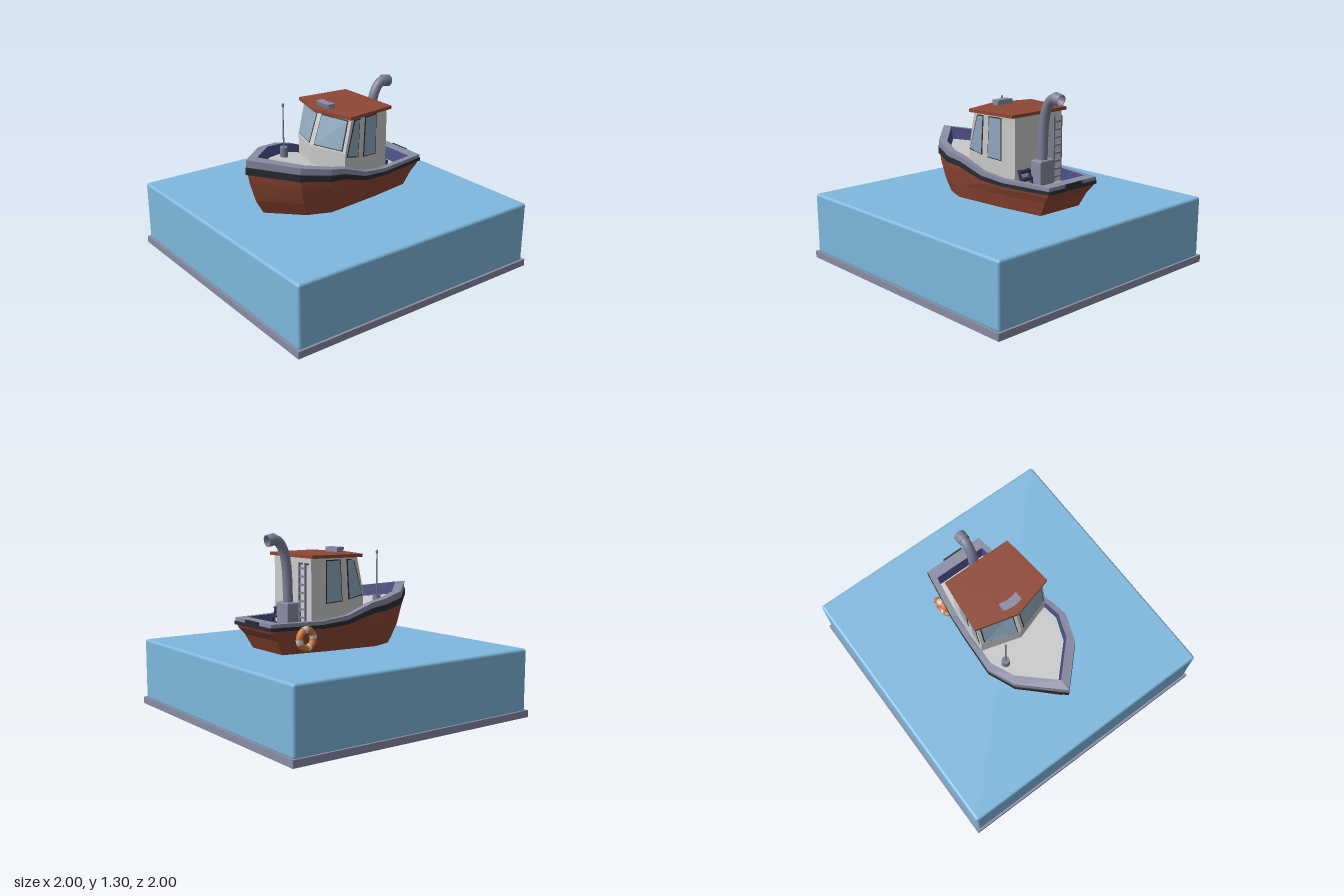
import * as THREE from 'three';
import { RoundedBoxGeometry } from 'three/addons/geometries/RoundedBoxGeometry.js';

const mat = (color, flatShading = false) => new THREE.MeshStandardMaterial({ color, flatShading });
const RED = mat(0x8f4735, true), BLACK = mat(0x2b2c34, true), TRIM = mat(0x8a8ca3, true);
const WHITE = mat(0xcccccc, true), BLUE = mat(0x4a4f86, true), GLASS = mat(0x8fa9bf, true);
const WATER = mat(0x7fb8de), PIPE = mat(0x7d7f96), NAVY = mat(0x33365e);
const ORANGE = mat(0xd9783a), PALE = mat(0xdddddd);
PIPE.side = THREE.DoubleSide;

const lerp = THREE.MathUtils.lerp;

function add(parent, name, geometry, material, x = 0, y = 0, z = 0) {
  const mesh = new THREE.Mesh(geometry, material);
  mesh.name = name;
  mesh.position.set(x, y, z);
  parent.add(mesh);
  return mesh;
}
const box = (parent, name, m, w, h, d, x, y, z) => add(parent, name, new THREE.BoxGeometry(w, h, d), m, x, y, z);

// Quads between consecutive rows of points
function loft(rows, closed = true) {
  const out = [];
  for (let r = 0; r + 1 < rows.length; r++) {
    const a = rows[r], b = rows[r + 1], n = a.length;
    for (let i = 0; i < (closed ? n : n - 1); i++) {
      const j = (i + 1) % n;
      out.push(...a[i], ...a[j], ...b[j], ...a[i], ...b[j], ...b[i]);
    }
  }
  const g = new THREE.BufferGeometry();
  g.setAttribute('position', new THREE.Float32BufferAttribute(out, 3));
  g.computeVertexNormals();
  return g;
}

const flip = ([x, y, z]) => [-x, y, z];
// Half outline from bow to stern, completed by its mirror image
const mirrorLoop = half => [...half, ...half.slice(1).reverse().map(flip)];

// Half deck edge: x, z, rim height, band thickness, floor depth
const EDGE = [
  [0, 0.71, 0.905, 0.052, 0.09], [0.26, 0.45, 0.865, 0.048, 0.08], [0.34, 0.25, 0.835, 0.043, 0.07],
  [0.33, 0.13, 0.81, 0.038, 0.06], [0.31, -0.07, 0.735, 0.032, 0.06], [0.29, -0.27, 0.71, 0.026, 0.09],
  [0.23, -0.65, 0.71, 0.024, 0.09],
];

function buildHull(boat) {
  const half = (s, height) => EDGE.map(e => [e[0] * s, height(e), e[1] * s]);
  const ring = (s, height) => mirrorLoop(half(s, height));
  const top = e => e[2], mid = e => e[2] - e[3], low = e => e[2] - 2 * e[3], floor = e => e[2] - e[4];
  add(boat, 'hull', loft([
    ring(0.81, () => 0.48), ring(0.9, () => 0.59),
    ring(0.965, e => lerp(0.59, low(e), 0.7)), ring(0.98, low),
  ]), RED);
  add(boat, 'rubbingStrake', loft([ring(0.97, low), ring(1.005, low), ring(1.005, mid), ring(0.98, mid)]), BLACK);
  add(boat, 'gunwale', loft([ring(0.995, mid), ring(0.995, top), ring(0.87, top)]), TRIM);
  add(boat, 'bulwarkLining', loft([ring(0.87, top), ring(0.84, floor)]), BLUE);
  const deck = half(0.84, floor);
  add(boat, 'deck', loft([deck, deck.map(flip)], false), WHITE);
  box(boat, 'sternFender', BLACK, 0.16, 0.04, 0.015, 0, 0.69, -0.652);
}

function buildCabin(boat) {
  const cabin = new THREE.Group();
  cabin.name = 'cabin';
  boat.add(cabin);
  const ring = (y, bow, side) => mirrorLoop([[0, y, bow], [0.275, y, side], [0.225, y, -0.32]]);
  add(cabin, 'cabinWalls', loft([ring(0.6, 0.175, 0.085), ring(0.89, 0.175, 0.085), ring(1.135, 0.09, 0.03)]), WHITE);

  // Roof with a pointed front edge
  const shape = new THREE.Shape([[0, -0.14], [0.3, -0.06], [0.26, 0.335], [-0.26, 0.335], [-0.3, -0.06]]
    .map(p => new THREE.Vector2(...p)));
  const roof = new THREE.ExtrudeGeometry(shape, { depth: 0.022, bevelEnabled: false }).rotateX(-Math.PI / 2);
  add(cabin, 'roof', roof, RED, 0, 1.13, 0);

  // Windows: corners on a wall, counter-clockwise, with a dark frame behind the glass
  const onFront = ([x, y], off) => {
    const t = (y - 0.89) / 0.245;
    return [x, y, lerp(lerp(0.175, 0.09, t), lerp(0.085, 0.03, t), x / 0.275) + off];
  };
  const onSide = ([z, y], off) => [0.225 + 0.05 * (z + 0.32) / 0.405 + off, y, z];
  const windows = [
    ['windscreen', onFront, [[0.03, 0.91], [0.25, 0.91], [0.25, 1.11], [0.03, 1.11]]],
    ['frontSideWindow', onSide, [[0.07, 0.87], [-0.03, 0.845], [-0.045, 1.11], [0, 1.11]]],
    ['rearSideWindow', onSide, [[-0.09, 0.835], [-0.205, 0.825], [-0.205, 1.11], [-0.105, 1.11]]],
  ];
  for (const [name, map, pts] of windows) {
    const cx = pts.reduce((s, p) => s + p[0], 0) / 4, cy = pts.reduce((s, p) => s + p[1], 0) / 4;
    const frame = pts.map(([u, v]) => [u + 0.007 * Math.sign(u - cx), v + 0.007 * Math.sign(v - cy)]);
    for (const [part, outline, m, off] of [['Frame', frame, BLACK, 0.006], ['Glass', pts, GLASS, 0.01]]) {
      const [a, b, c, d] = outline.map(p => map(p, off));
      add(cabin, name + part + 'Left', loft([[a, b], [d, c]], false), m);
      add(cabin, name + part + 'Right', loft([[b, a].map(flip), [c, d].map(flip)], false), m);
    }
  }

  // Roof lamp: a shallow wedge bent to follow the roof edge
  const lamp = new THREE.BoxGeometry(0.14, 0.035, 0.05, 4, 1, 1);
  const p = lamp.attributes.position;
  for (let i = 0; i < p.count; i++) {
    const lean = p.getY(i) > 0 && p.getZ(i) > 0 ? 0.012 : 0;
    p.setZ(i, p.getZ(i) + lean - 2.2 * p.getX(i) ** 2);
  }
  lamp.computeVertexNormals();
  add(cabin, 'roofLamp', lamp, TRIM, 0, 1.169, 0.05);

  // Ladder on the back wall
  const ladder = new THREE.Group();
  ladder.name = 'ladder';
  cabin.add(ladder);
  for (const s of [-1, 1]) box(ladder, 'ladderRail', PIPE, 0.012, 0.46, 0.012, -0.158 + s * 0.035, 0.87, -0.347);
  for (let i = 0; i < 8; i++) box(ladder, 'ladderRung', PIPE, 0.07, 0.012, 0.012, -0.158, 0.67 + i * 0.056, -0.347);
  for (const s of [-1, 1]) box(ladder, 'ladderBracket', PIPE, 0.012, 0.012, 0.03, -0.158 + s * 0.035, 1.09, -0.333);
}

function buildExhaust(boat) {
  const exhaust = new THREE.Group();
  exhaust.name = 'exhaust';
  boat.add(exhaust);
  add(exhaust, 'exhaustHousing', new RoundedBoxGeometry(0.14, 0.22, 0.1, 2, 0.01), TRIM, 0, 0.71, -0.362);
  const path = new THREE.CatmullRomCurve3([
    [0.8, -0.36], [0.95, -0.362], [1.08, -0.372], [1.17, -0.392], [1.235, -0.432], [1.255, -0.475], [1.247, -0.515],
  ].map(([y, z]) => new THREE.Vector3(0, y, z)));
  add(exhaust, 'exhaustPipe', new THREE.TubeGeometry(path, 28, 0.035, 16), PIPE);
  // Open collar at the outlet
  const collar = new THREE.LatheGeometry([[0.033, -0.03], [0.042, -0.03], [0.042, 0.03], [0.034, 0.03], [0.034, -0.02]]
    .map(q => new THREE.Vector2(...q)), 16);
  add(exhaust, 'exhaustCollar', collar, PIPE, 0, 1.25, -0.495).rotation.x = -Math.PI / 2 - 0.2;
}

function buildFittings(boat) {
  // Mast on the foredeck
  add(boat, 'mastBase', new THREE.CylinderGeometry(0.028, 0.03, 0.09, 16), PIPE, -0.203, 0.8, 0.267);
  add(boat, 'mast', new THREE.CylinderGeometry(0.004, 0.006, 0.31, 8), PIPE, -0.203, 0.995, 0.267);
  add(boat, 'mastTip', new THREE.SphereGeometry(0.009, 10, 8), PIPE, -0.203, 1.153, 0.267).scale.y = 1.8;

  // Steps down to the aft deck
  for (let i = 0; i < 3; i++) box(boat, 'step', NAVY, 0.09, 0.02, 0.035, 0.148, 0.755 - i * 0.05, -0.335 - i * 0.02);
  for (const s of [-1, 1]) {
    box(boat, 'stepSide', NAVY, 0.01, 0.17, 0.02, 0.148 + s * 0.045, 0.69, -0.355).rotation.x = 0.38;
  }

  // Banded life ring hung on the hull side
  const ring = new THREE.Group();
  ring.name = 'lifeRing';
  for (let i = 0; i < 8; i++) {
    const wide = i % 2 === 0;
    const g = new THREE.TorusGeometry(0.062, wide ? 0.024 : 0.025, 10, 6, wide ? 1.1 : Math.PI / 2 - 1.1);
    add(ring, 'lifeRingBand', g, wide ? ORANGE : PALE).rotation.z = Math.floor(i / 2) * Math.PI / 2 + (wide ? 0 : 1.1);
  }
  ring.position.set(-0.28, 0.6, -0.4);
  ring.rotation.set(0, Math.PI / 2 + 0.12, 0.0);
  boat.add(ring);
}

export function createModel() {
  const model = new THREE.Group();
  model.name = 'boatOnWater';
  box(model, 'basePlate', TRIM, 2, 0.05, 2, 0, 0.025, 0);
  add(model, 'water', new RoundedBoxGeometry(1.97, 0.45, 1.97, 3, 0.02), WATER, 0, 0.265, 0);
  const boat = new THREE.Group();
  boat.name = 'boat';
  model.add(boat);
  buildHull(boat);
  buildCabin(boat);
  buildExhaust(boat);
  buildFittings(boat);
  return model;
}
